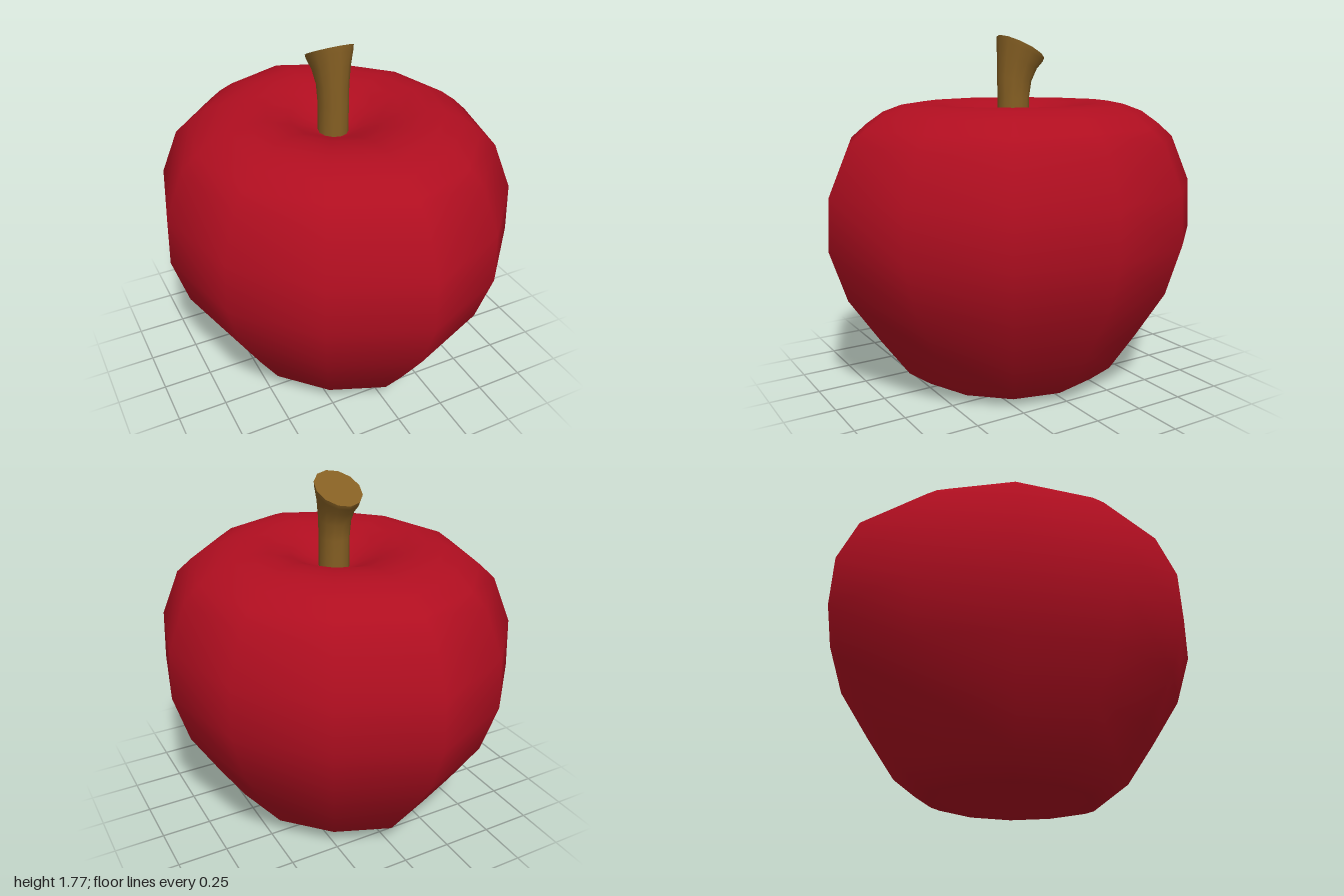
import * as THREE from 'three';
import { mergeVertices } from 'three/addons/utils/BufferGeometryUtils.js';

const SIDES = 12;

// Profile from the bottom dimple, round the outside, into the top dimple
const PROFILE = [
  [0, 0.11], [0.14, 0.085], [0.27, 0.03], [0.39, 0], [0.44, 0.02], [0.54, 0.1], [0.67, 0.3],
  [0.81, 0.53], [0.885, 0.78], [0.875, 1.03], [0.785, 1.26], [0.71, 1.33], [0.63, 1.39],
  [0.54, 1.425], [0.45, 1.437], [0.34, 1.425], [0.22, 1.38], [0.11, 1.32], [0, 1.28],
];

// Stem rings: centre y, centre z, radius x, radius z, slope of the ring along z
const STEM = [
  [1.25, 0, 0.075, 0.082, 0],
  [1.46, 0, 0.075, 0.082, 0.02],
  [1.55, -0.006, 0.078, 0.09, 0.12],
  [1.63, -0.022, 0.092, 0.104, 0.3],
  [1.685, -0.038, 0.11, 0.12, 0.45],
  [1.71, -0.043, 0.115, 0.123, 0.49],
];

function mapVertices(geometry, rule) {
  const pos = geometry.attributes.position;
  const v = new THREE.Vector3();
  for (let i = 0; i < pos.count; i++) {
    rule(v.fromBufferAttribute(pos, i));
    pos.setXYZ(i, v.x, v.y, v.z);
  }
  geometry.computeVertexNormals();
  return geometry;
}

function makeBody() {
  let geo = new THREE.LatheGeometry(PROFILE.map(([r, y]) => new THREE.Vector2(r, y)), SIDES);
  geo.deleteAttribute('uv');
  geo.deleteAttribute('normal');
  geo = mergeVertices(geo);
  // Oval plan with slightly pointed front and back
  return mapVertices(geo, (v) => {
    v.z *= Math.abs(v.x) < 0.001 ? 1.13 : 1.067;
  });
}

function makeStem() {
  const steps = STEM.length - 1;
  let geo = new THREE.CylinderGeometry(1, 1, steps, SIDES, steps);
  geo.deleteAttribute('uv');
  geo = mergeVertices(geo); // closes the seam, keeps the cap edges sharp
  return mapVertices(geo, (v) => {
    const [y, z, rx, rz, slope] = STEM[Math.round(v.y + steps / 2)];
    const dz = v.z * rz;
    v.set(v.x * rx, y + dz * slope, z + dz);
  });
}

export function createModel() {
  const model = new THREE.Group();
  model.name = 'apple';
  const add = (name, geometry, color) => {
    const mesh = new THREE.Mesh(geometry, new THREE.MeshStandardMaterial({ color }));
    mesh.name = name;
    model.add(mesh);
  };
  add('body', makeBody(), 0xb00e20);
  add('stem', makeStem(), 0x855f23);
  return model;
}
